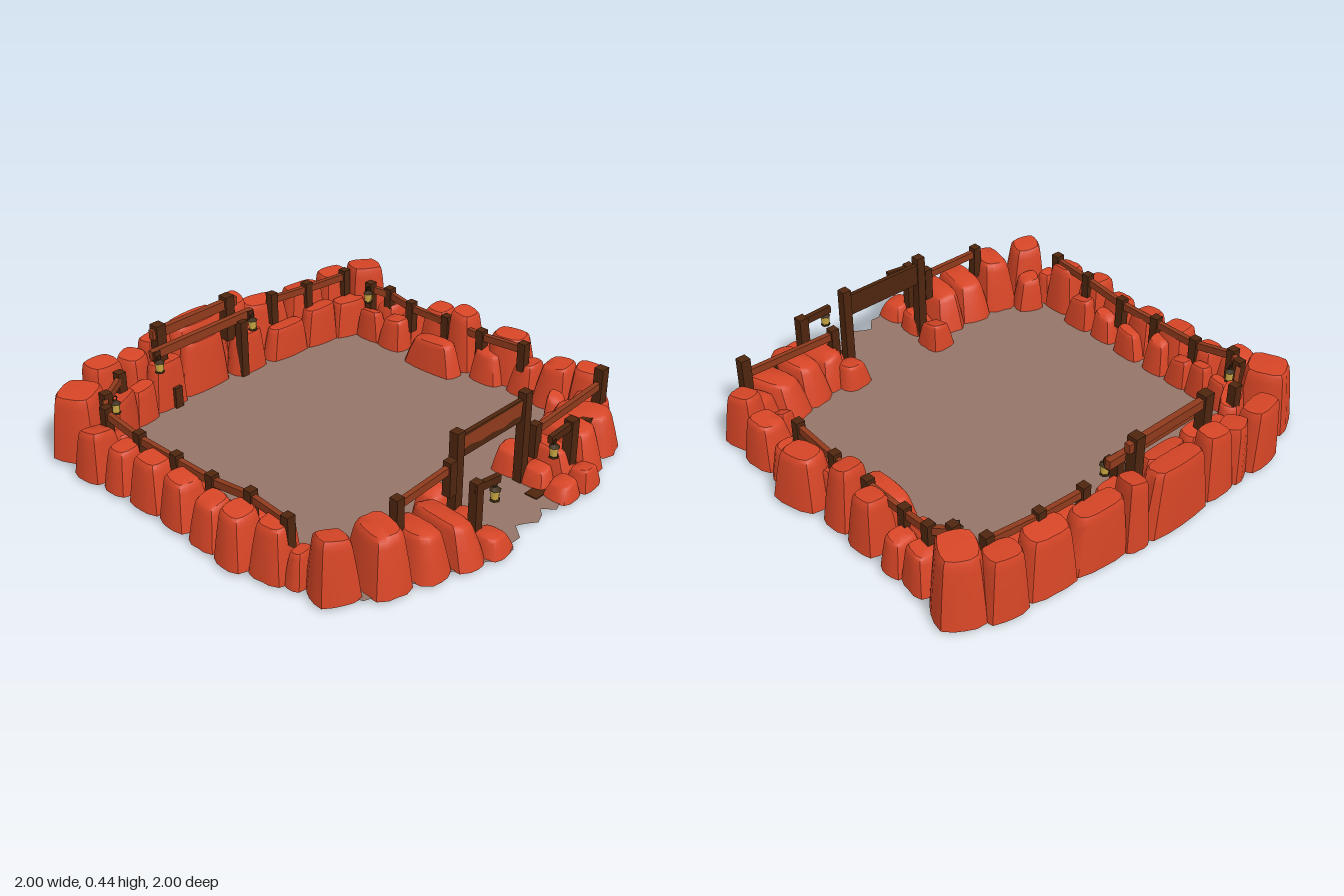
import * as THREE from 'three';
import { toCreasedNormals } from 'three/addons/utils/BufferGeometryUtils.js';

const mat = (name, color, side = THREE.FrontSide) => {
  const m = new THREE.MeshStandardMaterial({ color, side });
  m.name = name;
  return m;
};

export function createModel() {
  const group = new THREE.Group();
  group.name = 'rockArena';
  const rockRed = mat('red rock', 0xd64526);
  const dirt = mat('dusty ground', 0x967569, THREE.DoubleSide);
  const darkWood = mat('dark wood', 0x4f260f);
  const rustWood = mat('rust wood', 0x8f3a1c);
  const metal = mat('lantern metal', 0x3a2810);
  const glow = mat('lantern glow', 0xd2ae45);

  let seed = 7;
  const rand = () => (seed = (seed * 16807) % 2147483647) / 2147483647;
  const add = (name, geo, material, x, y, z, parent = group) => {
    const m = new THREE.Mesh(geo, material);
    m.name = name;
    m.position.set(x, y, z);
    parent.add(m);
    return m;
  };

  // Tapered boulder: rounded-square cross-sections stacked upward
  const BASE = 0.015, SIDES = 16;
  function rockGeometry(w, d, h, taper) {
    const profile = [[0, 1], [0.45, 0.55], [0.84, 0.08], [0.95, -0.12], [1, -0.42]];
    const pos = [], idx = [];
    const lx = (rand() - 0.5) * 0.02, lz = (rand() - 0.5) * 0.02;
    const wobble = Array.from({ length: SIDES }, () => 0.96 + rand() * 0.05);
    for (const [t, k] of profile) {
      const s = taper + (1 - taper) * k;
      for (let i = 0; i < SIDES; i++) {
        const a = (i / SIDES) * Math.PI * 2, c = Math.cos(a), n = Math.sin(a);
        const r = s * wobble[i] / Math.pow(c ** 4 + n ** 4, 0.25);
        const tilt = t > 0.8 ? c * lx + n * lz : 0;
        pos.push(c * r * w / 2 + lx * t, t * h + tilt, n * r * d / 2 + lz * t);
      }
    }
    const top = pos.length / 3, last = (profile.length - 1) * SIDES;
    pos.push(lx, h * 1.01, lz, 0, 0, 0);
    for (let i = 0; i < SIDES; i++) {
      const j = (i + 1) % SIDES;
      for (let r = 0; r < last; r += SIDES) {
        idx.push(r + i, r + SIDES + i, r + j, r + j, r + SIDES + i, r + SIDES + j);
      }
      idx.push(top, last + j, last + i, top + 1, i, j);
    }
    const g = new THREE.BufferGeometry();
    g.setAttribute('position', new THREE.Float32BufferAttribute(pos, 3));
    g.setIndex(idx);
    return toCreasedNormals(g, 0.7);
  }

  // Rocks per side: x, z, width, depth, height, turn
  const walls = {
    leftRock: [
      [-0.9, -0.59, 0.19, 0.17, 0.21, 0.05], [-0.89, -0.43, 0.17, 0.15, 0.19, 0],
      [-0.88, -0.25, 0.18, 0.19, 0.21, 0.05], [-0.88, -0.07, 0.18, 0.18, 0.2, -0.1],
      [-0.9, 0.11, 0.16, 0.17, 0.19, 0], [-0.9, 0.27, 0.19, 0.17, 0.22, 0],
      [-0.87, 0.43, 0.17, 0.18, 0.23, 0.1], [-0.85, 0.54, 0.13, 0.09, 0.15, 0.1],
      [-0.79, -0.6, 0.1, 0.13, 0.14, 0], [-0.79, -0.48, 0.1, 0.12, 0.16, 0],
      [-0.79, -0.36, 0.1, 0.13, 0.13, 0], [-0.79, -0.23, 0.1, 0.13, 0.16, 0],
      [-0.79, -0.06, 0.1, 0.16, 0.13, 0], [-0.8, 0.11, 0.09, 0.14, 0.13, 0],
      [-0.8, 0.27, 0.1, 0.16, 0.15, 0],
    ],
    backRock: [
      [-0.85, -0.78, 0.23, 0.23, 0.29, 0.5], [-0.61, -0.92, 0.21, 0.15, 0.28, 0.1],
      [-0.46, -0.91, 0.16, 0.15, 0.26, 0.4], [-0.33, -0.93, 0.18, 0.13, 0.3, 0],
      [-0.08, -0.93, 0.36, 0.15, 0.3, 0], [0.14, -0.92, 0.12, 0.15, 0.32, -0.2],
      [0.31, -0.89, 0.29, 0.15, 0.27, -0.1], [0.54, -0.87, 0.25, 0.15, 0.27, -0.12],
      [0.74, -0.85, 0.2, 0.16, 0.28, -0.15], [0.87, -0.76, 0.21, 0.22, 0.31, -0.5],
    ],
    innerBackRock: [
      [-0.67, -0.75, 0.24, 0.11, 0.2, 0.5], [-0.52, -0.79, 0.15, 0.1, 0.17, 0.1],
      [-0.36, -0.82, 0.2, 0.11, 0.23, 0], [-0.13, -0.83, 0.28, 0.1, 0.26, 0],
      [0.12, -0.81, 0.2, 0.11, 0.2, 0], [0.35, -0.79, 0.24, 0.11, 0.16, -0.05],
      [0.55, -0.77, 0.2, 0.11, 0.19, -0.15], [0.72, -0.73, 0.2, 0.12, 0.18, -0.25],
    ],
    rightRock: [
      [0.86, -0.57, 0.17, 0.16, 0.17, -0.1], [0.87, -0.44, 0.16, 0.13, 0.15, 0],
      [0.77, -0.46, 0.13, 0.16, 0.15, 0], [0.76, -0.6, 0.1, 0.16, 0.15, 0],
      [0.87, -0.26, 0.17, 0.17, 0.24, 0], [0.73, -0.18, 0.13, 0.31, 0.15, 0],
      [0.86, -0.09, 0.18, 0.16, 0.28, 0.05], [0.9, 0.14, 0.19, 0.24, 0.23, 0.25],
      [0.82, 0.08, 0.13, 0.18, 0.15, 0], [0.86, 0.27, 0.17, 0.15, 0.15, 0],
      [0.86, 0.43, 0.19, 0.19, 0.2, 0.1], [0.86, 0.6, 0.16, 0.18, 0.24, 0.3],
      [0.73, 0.53, 0.11, 0.1, 0.12, 0.3],
    ],
    frontRock: [
      [0.77, 0.67, 0.17, 0.22, 0.15, 0.5], [0.65, 0.71, 0.2, 0.34, 0.17, 0.35],
      [0.5, 0.74, 0.18, 0.34, 0.18, 0.1], [0.38, 0.75, 0.16, 0.28, 0.15, 0.1],
      [0.29, 0.63, 0.15, 0.15, 0.11, 0.1], [0.27, 0.9, 0.13, 0.13, 0.07, 0],
      [0.4, 0.91, 0.15, 0.12, 0.09, 0.1], [0.28, 0.77, 0.12, 0.14, 0.08, 0],
      [-0.19, 0.61, 0.14, 0.15, 0.12, 0], [-0.21, 0.76, 0.14, 0.15, 0.09, 0],
      [-0.21, 0.92, 0.15, 0.15, 0.08, 0.1], [-0.33, 0.79, 0.17, 0.36, 0.17, -0.08],
      [-0.48, 0.76, 0.18, 0.32, 0.18, -0.12], [-0.64, 0.73, 0.19, 0.28, 0.24, -0.25],
      [-0.73, 0.56, 0.14, 0.13, 0.16, -0.4], [-0.81, 0.67, 0.19, 0.18, 0.26, -0.4],
    ],
  };
  for (const [name, list] of Object.entries(walls)) {
    const taper = name === 'backRock' ? 0.78 : name === 'innerBackRock' ? 0.8 : 0.7;
    for (const [x, z, w, d, h, turn] of list) {
      add(name, rockGeometry(w, d, h, taper), rockRed, x, BASE, z).rotation.y = turn;
    }
  }

  // Ground sheet with a ragged edge at the entrance
  const outline = [[-0.8, -0.86], [0.8, -0.82], [0.82, 0.5], [0.76, 0.74], [0.5, 0.88], [0.22, 0.93],
    [0.17, 0.95], [0.13, 0.9], [0.1, 0.93], [0.05, 0.95], [0.01, 0.92], [-0.03, 0.9], [-0.08, 0.96],
    [-0.13, 0.96], [-0.16, 0.99], [-0.25, 0.98], [-0.5, 0.88], [-0.78, 0.79], [-0.83, 0.6]];
  const floor = new THREE.Shape(outline.map(([x, z]) => new THREE.Vector2(x, -z)));
  add('ground', new THREE.ShapeGeometry(floor).rotateX(-Math.PI / 2), dirt, 0, 0.02, 0);

  // Square posts and rails
  const post = (x, z, y0, y1, s = 0.04, name = 'fencePost') =>
    add(name, new THREE.BoxGeometry(s, y1 - y0, s), darkWood, x, (y0 + y1) / 2, z);
  function rail(a, b, s = 0.028, material = rustWood, name = 'fenceRail') {
    const p = new THREE.Vector3(...a), q = new THREE.Vector3(...b);
    const m = add(name, new THREE.BoxGeometry(s * 0.8, s * 1.2, p.distanceTo(q)), material, 0, 0, 0);
    m.position.copy(p).add(q).multiplyScalar(0.5);
    m.lookAt(q);
  }

  // Fence runs: x, rail height, z of each post
  const runs = [
    [[-0.85, 0.25, 0.48], [-0.83, 0.25, 0.26], [-0.83, 0.22, 0.04], [-0.83, 0.22, -0.17],
      [-0.83, 0.22, -0.4], [-0.84, 0.26, -0.6], [-0.78, 0.27, -0.68], [-0.63, 0.27, -0.78]],
    [[0.31, 0.3, -0.83], [0.52, 0.29, -0.81], [0.75, 0.29, -0.78]],
    [[0.78, 0.26, -0.63], [0.83, 0.24, -0.55], [0.82, 0.22, -0.4], [0.82, 0.22, -0.18],
      [0.82, 0.22, 0.03], [0.82, 0.24, 0.27]],
    [[-0.55, 0.3, 0.74], [-0.24, 0.31, 0.73]],
    [[0.31, 0.23, 0.72], [0.78, 0.25, 0.71]],
  ];
  for (const run of runs) {
    run.forEach((p, i) => {
      post(p[0], p[2], p[1] - 0.12, p[1] + 0.035);
      if (i) rail(run[i - 1], p);
    });
  }
  post(0.78, 0.71, 0.1, 0.33, 0.045);
  post(0.61, 0.77, 0.08, 0.18);

  // Entrance gate with a weathered board
  for (const x of [-0.18, 0.24]) post(x, 0.71, BASE, 0.44, 0.042, 'gatePost');
  add('gateBeam', new THREE.BoxGeometry(0.4, 0.1, 0.02), darkWood, 0.03, 0.36, 0.705);
  const board = new THREE.Shape([[-0.18, 0.4], [-0.18, 0.345], [-0.1, 0.35], [-0.04, 0.338], [0.03, 0.343],
    [0.1, 0.333], [0.16, 0.345], [0.21, 0.34], [0.22, 0.405]].map(p => new THREE.Vector2(...p)));
  add('gateBoard', new THREE.ShapeGeometry(board), rustWood, 0, 0, 0.717);

  // Raised double-rail frame on the back wall
  for (const x of [-0.37, 0.03]) {
    post(x, -0.83, 0.2, 0.42, 0.05, 'framePost');
    post(x + 0.03, -0.77, BASE, x < 0 ? 0.12 : 0.3, 0.04, 'frameStump');
  }
  rail([-0.41, 0.38, -0.83], [0.08, 0.38, -0.83], 0.036, rustWood, 'frameTopRail');
  rail([-0.45, 0.31, -0.79], [0.14, 0.31, -0.79], 0.034, rustWood, 'frameLowRail');
  post(-0.43, -0.78, 0.28, 0.33, 0.03);
  post(0.12, -0.78, 0.28, 0.33, 0.03);

  // Lantern posts beside the entrance
  post(-0.24, 0.86, BASE, 0.31, 0.04, 'lanternPost');
  rail([-0.26, 0.285, 0.86], [-0.13, 0.285, 0.88], 0.028, darkWood, 'lanternArm');
  post(0.39, 0.84, BASE, 0.3, 0.045, 'lanternPost');
  rail([0.41, 0.275, 0.84], [0.23, 0.275, 0.85], 0.028, darkWood, 'lanternArm');
  add('entrancePlank', new THREE.BoxGeometry(0.08, 0.025, 0.06), darkWood, 0.21, 0.0125, 0.82);

  // Hanging lanterns
  const spots = [[-0.43, 0.26, -0.76], [0.12, 0.265, -0.76], [-0.15, 0.22, 0.88],
    [0.25, 0.22, 0.86], [-0.75, 0.23, -0.66], [0.75, 0.23, -0.62]];
  for (const [x, y, z] of spots) {
    const lantern = new THREE.Group();
    lantern.name = 'lantern';
    lantern.position.set(x, y, z);
    group.add(lantern);
    add('lanternGlass', new THREE.CylinderGeometry(0.021, 0.017, 0.04, 6), glow, 0, 0, 0, lantern);
    add('lanternBase', new THREE.CylinderGeometry(0.02, 0.022, 0.008, 6), metal, 0, -0.024, 0, lantern);
    add('lanternCap', new THREE.CylinderGeometry(0.008, 0.025, 0.014, 6), metal, 0, 0.027, 0, lantern);
    add('lanternHook', new THREE.TorusGeometry(0.011, 0.003, 4, 8), metal, 0, 0.042, 0, lantern);
  }
  return group;
}
